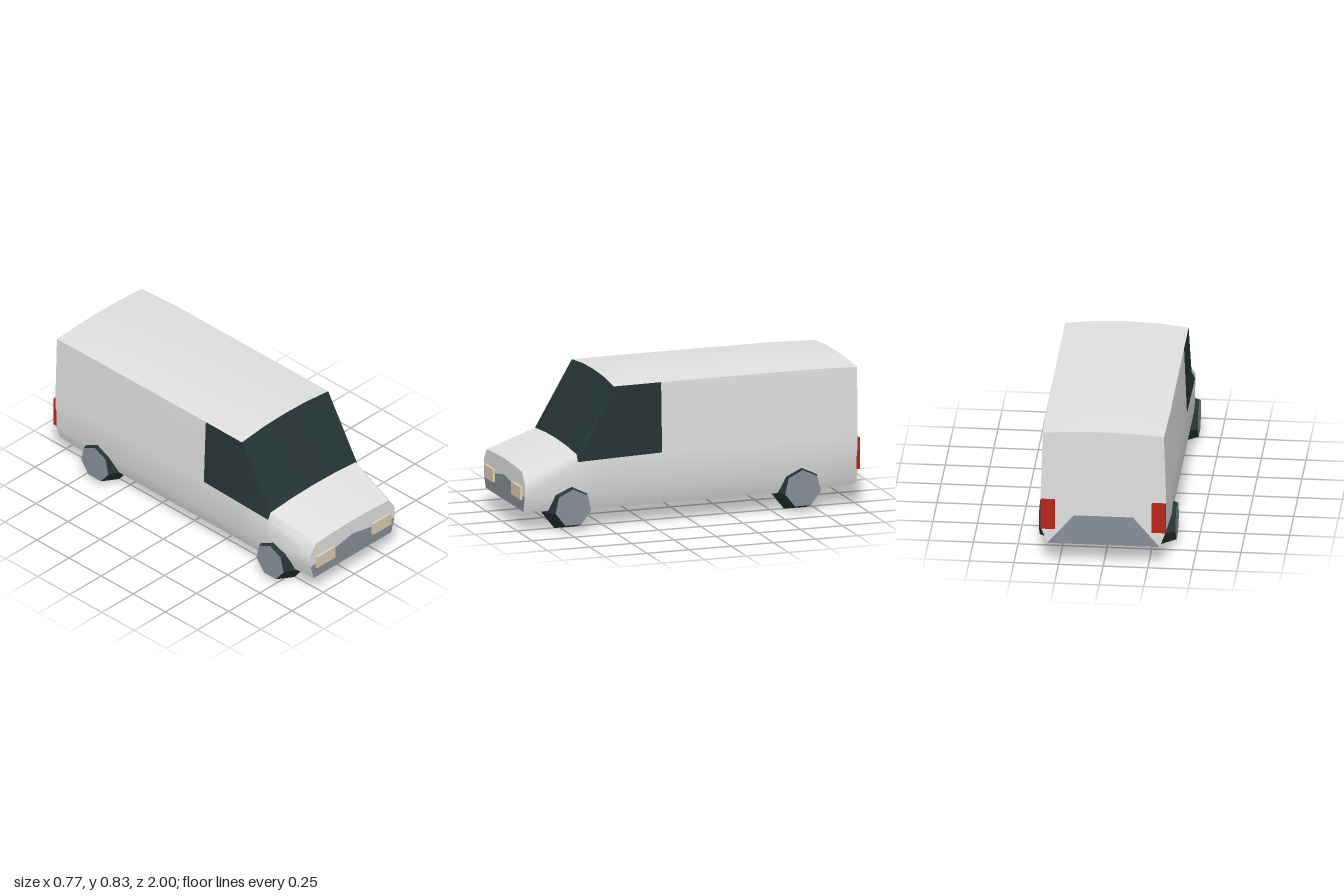
import * as THREE from 'three';
import { toCreasedNormals } from 'three/addons/utils/BufferGeometryUtils.js';

const paint = (name, color) => {
  const m = new THREE.MeshStandardMaterial({ color });
  m.name = name;
  return m;
};

// Half cross-sections, front to back: sill, lower side, waist, top corner, crown quarter, crown
const SECTIONS = [
  { z: 0.985, p: [[0.31, 0.122], [0.335, 0.207], [0.335, 0.285], [0.29, 0.348], [0.15, 0.356], [0, 0.36]] },
  { z: 0.68, p: [[0.32, 0.11], [0.36, 0.21], [0.362, 0.395], [0.342, 0.435], [0.17, 0.448], [0, 0.452]] },
  { z: 0.46, p: [[0.32, 0.11], [0.36, 0.21], [0.362, 0.402], [0.346, 0.808], [0.17, 0.827], [0, 0.832]] },
  { z: 0.18, p: [[0.32, 0.11], [0.36, 0.21], [0.362, 0.41], [0.346, 0.81], [0.17, 0.827], [0, 0.832]] },
  { z: -0.72, p: [[0.32, 0.11], [0.36, 0.21], [0.36, 0.41], [0.346, 0.81], [0.17, 0.827], [0, 0.832]] },
  { z: -0.985, p: [[0.315, 0.124], [0.347, 0.21], [0.352, 0.41], [0.34, 0.802], [0.17, 0.813], [0, 0.817]] },
];

const mirrorPoints = (pts) => pts.map(([x, y]) => [-x, y]).reverse();
// Full outline from the left sill over the top to the right sill
const RINGS = SECTIONS.map(({ z, p }) => ({ z, p: [...p, ...mirrorPoints(p.slice(0, -1))] }));
const LAST = RINGS[0].p.length - 1;

// Skin made of the quads for which test(section, strip) holds
function skin(test) {
  const pos = [];
  const at = (j, i) => [...RINGS[j].p[i], RINGS[j].z];
  for (let j = 0; j < RINGS.length - 1; j++) {
    for (let i = 0; i < LAST; i++) {
      if (!test(j, i)) continue;
      const a = at(j, i), b = at(j + 1, i), c = at(j + 1, i + 1), d = at(j, i + 1);
      pos.push(...a, ...b, ...c, ...a, ...c, ...d);
    }
  }
  const g = new THREE.BufferGeometry();
  g.setAttribute('position', new THREE.Float32BufferAttribute(pos, 3));
  return toCreasedNormals(g, 0.65);
}

const flatShape = (pts) =>
  new THREE.ShapeGeometry(new THREE.Shape(pts.map(([x, y]) => new THREE.Vector2(x, y))));

export function createModel() {
  const white = paint('bodyWhite', 0xe0e0e0);
  const dark = paint('darkGlassAndRubber', 0x263434);
  const grey = paint('bumperGrey', 0x878e97);
  const cream = paint('headlightCream', 0xdccdb4);
  const red = paint('tailLightRed', 0xb8241a);

  const van = new THREE.Group();
  van.name = 'van';
  const add = (name, geometry, material, x = 0, y = 0, z = 0) => {
    const mesh = new THREE.Mesh(geometry, material);
    mesh.name = name;
    mesh.position.set(x, y, z);
    van.add(mesh);
    return mesh;
  };

  // Body shell and glass share the same skin
  const isSideWindow = (j, i) => (j === 1 || j === 2) && (i === 2 || i === LAST - 3);
  const isWindshield = (j, i) => j === 1 && i >= 3 && i <= LAST - 4;
  add('bodyShell', skin((j, i) => !isSideWindow(j, i) && !isWindshield(j, i)), white);
  add('windshield', skin(isWindshield), dark);
  add('sideWindows', skin(isSideWindow), dark);

  // Underside
  const floor = [];
  for (let j = 0; j < RINGS.length - 1; j++) {
    const corner = (k, side) => {
      const [x, y] = RINGS[k].p[0];
      return [side * x, y, RINGS[k].z];
    };
    const a = corner(j, 1), b = corner(j, -1), c = corner(j + 1, -1), d = corner(j + 1, 1);
    floor.push(...a, ...b, ...c, ...a, ...c, ...d);
  }
  const floorGeo = new THREE.BufferGeometry();
  floorGeo.setAttribute('position', new THREE.Float32BufferAttribute(floor, 3));
  floorGeo.computeVertexNormals();
  add('underside', floorGeo, dark);

  // End faces, each split into a painted upper part and a grey bumper panel
  const endFace = (name, ring, start, notch, turn) => {
    const upper = ring.p.slice(start, LAST + 1 - start);
    const lowerRight = ring.p.slice(0, start + 1);
    const full = notch.slice().reverse();
    const meshes = [
      add(name + 'Face', flatShape([...upper, ...full]), white, 0, 0, ring.z),
      add(name + 'Bumper', flatShape([...lowerRight, ...notch, ...mirrorPoints(lowerRight)]), grey, 0, 0, ring.z),
    ];
    if (turn) meshes.forEach((m) => { m.rotation.y = Math.PI; });
  };
  endFace('front', RINGS[0], 1, [[0.15, 0.24], [0, 0.268], [-0.15, 0.24]], false);
  endFace('rear', RINGS[RINGS.length - 1], 0, [[0.165, 0.3], [-0.165, 0.3]], true);

  // Lights and wheels, mirrored left and right
  for (const [side, s] of [['left', 1], ['right', -1]]) {
    add(side + 'Headlight', new THREE.BoxGeometry(0.144, 0.073, 0.02), cream, s * 0.225, 0.2265, 0.99);
    add(side + 'TailLight', new THREE.BoxGeometry(0.078, 0.178, 0.02), red, s * 0.311, 0.306, -0.99);

    for (const [end, z] of [['Front', 0.715], ['Rear', -0.648]]) {
      // Seven-sided tapered wheel with a vertex on top and a grey outer cap
      const g = new THREE.CylinderGeometry(0.108, 0.152, 0.128, 7);
      g.rotateY(s > 0 ? -Math.PI / 2 : Math.PI / 2);
      g.rotateZ(-s * Math.PI / 2);
      const groups = g.groups.map((k) => ({ ...k }));
      const flat = g.toNonIndexed();
      flat.computeVertexNormals();
      flat.clearGroups();
      groups.forEach((k) => flat.addGroup(k.start, k.count, k.materialIndex));
      add(side + end + 'Wheel', flat, [dark, grey, dark], s * 0.319, 0.138, z);
    }
  }
  return van;
}
